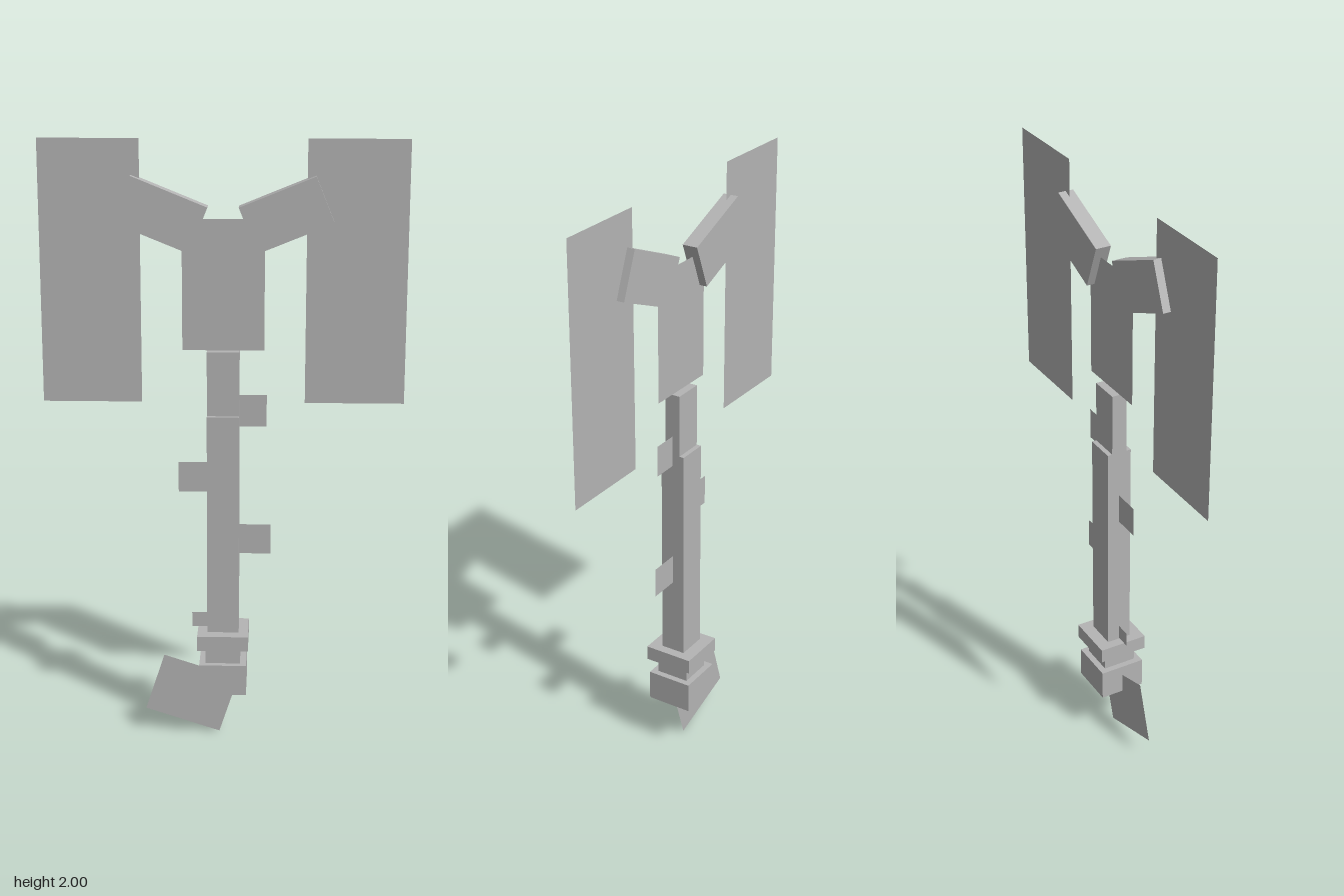
import * as THREE from 'three';

export function createModel() {
  const model = new THREE.Group();
  const grey = new THREE.MeshStandardMaterial({ color: 0xb4b4b4, side: THREE.DoubleSide });
  grey.name = 'plain grey';

  const add = (name, geometry, x, y, angle = 0) => {
    const mesh = new THREE.Mesh(geometry, grey);
    mesh.name = name;
    mesh.position.set(x, y, 0);
    mesh.rotation.z = angle;
    model.add(mesh);
  };
  // Box centred on the shaft, given its bottom and top
  const block = (name, width, depth, y0, y1) =>
    add(name, new THREE.BoxGeometry(width, y1 - y0, depth), 0, (y0 + y1) / 2);
  // Flat upright sheet in the z = 0 plane
  const sheet = (name, x0, x1, y0, y1) =>
    add(name, new THREE.PlaneGeometry(x1 - x0, y1 - y0), (x0 + x1) / 2, (y0 + y1) / 2);

  // Shaft and stacked foot
  block('upperShaft', 0.104, 0.052, 1.12, 1.33);
  block('shaft', 0.104, 0.084, 0.38, 1.12);
  block('collar', 0.168, 0.168, 0.33, 0.38);
  block('neck', 0.114, 0.114, 0.275, 0.33);
  block('pommel', 0.156, 0.156, 0.17, 0.275);

  // Head sheet, with mirrored arms and wings
  sheet('headPlate', -0.131, 0.131, 1.331, 1.751);
  for (const [side, s] of [['left', 1], ['right', -1]]) {
    add(side + 'Arm', new THREE.BoxGeometry(0.259, 0.156, 0.052), s * 0.198, 1.766, s * 0.385);
    const inner = s * 0.262, outer = s * 0.58;
    sheet(side + 'Wing', Math.min(inner, outer), Math.max(inner, outer), 1.16, 2);
  }

  // Small tabs along the shaft
  sheet('topTab', 0.05, 0.14, 1.08, 1.185);
  sheet('upperTab', -0.146, -0.05, 0.857, 0.958);
  sheet('middleTab', 0.05, 0.156, 0.645, 0.746);
  sheet('lowerTab', -0.104, -0.05, 0.384, 0.434);

  // Tilted sheet hanging from the foot
  add('tailPlate', new THREE.PlaneGeometry(0.262, 0.206), -0.106, 0.14, -0.314);

  return model;
}
